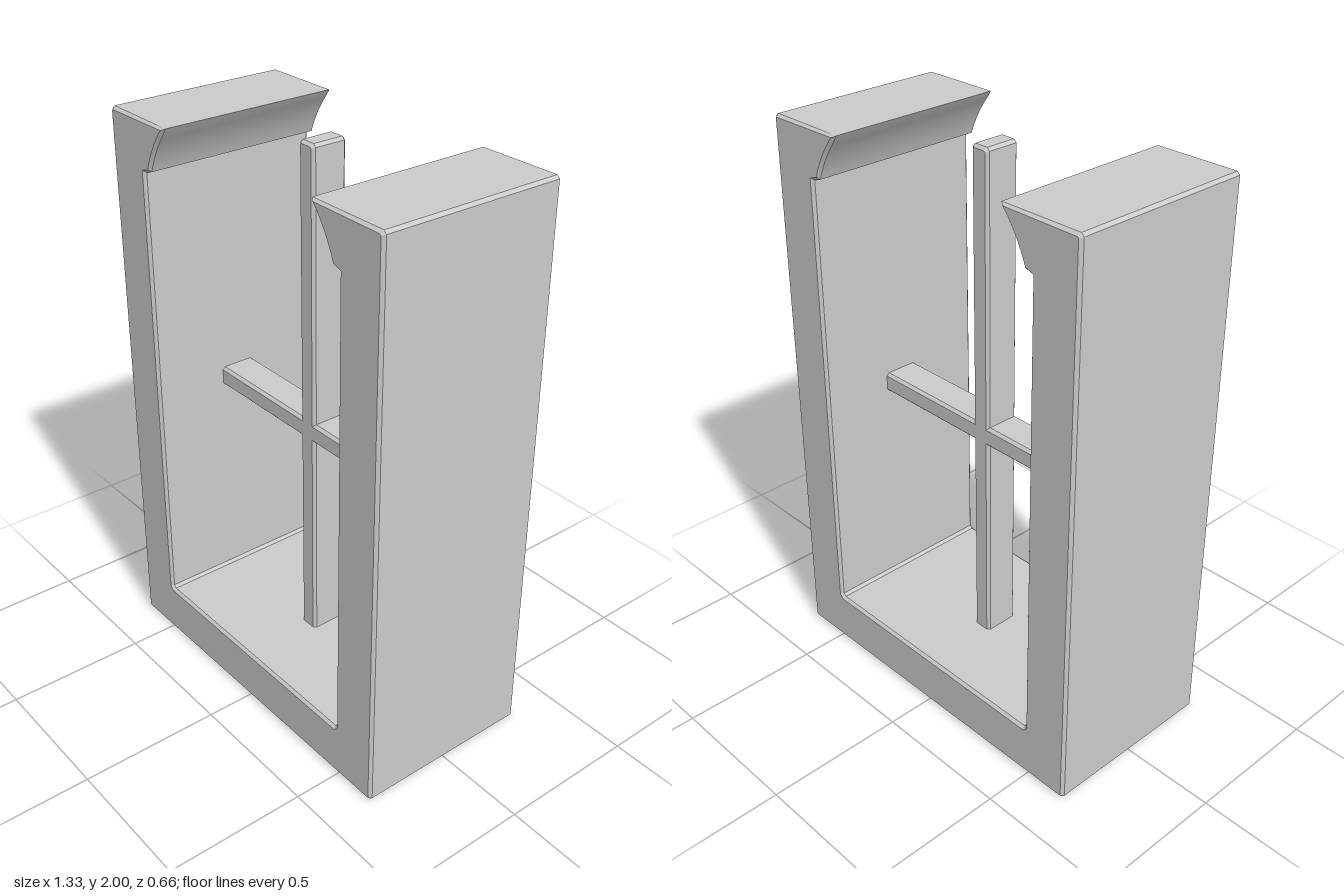
import * as THREE from 'three';
import { toCreasedNormals } from 'three/addons/utils/BufferGeometryUtils.js';

const BEVEL = 0.01;

// Extrudes an outline along z with a small chamfer that stays inside the outline
function chamferedExtrude(points, depth, zCentre) {
  const geometry = new THREE.ExtrudeGeometry(new THREE.Shape(points), {
    depth: depth - 2 * BEVEL,
    bevelEnabled: true,
    bevelThickness: BEVEL,
    bevelSize: BEVEL,
    bevelOffset: -BEVEL,
    bevelSegments: 1,
  });
  geometry.translate(0, 0, zCentre - depth / 2 + BEVEL);
  return toCreasedNormals(geometry, 0.4);
}

// Right half of the frame outline, from bottom centre around to the sill
function frameHalf() {
  const v = (x, y) => new THREE.Vector2(x, y);
  const arch = new THREE.QuadraticBezierCurve(v(0.36, 1.995), v(0.425, 1.92), v(0.455, 1.835));
  return [
    v(0.655, 0), v(0.665, 0.01),        // chamfered foot
    v(0.665, 1.99), v(0.655, 2),        // chamfered top
    v(0.36, 2), ...arch.getPoints(8).slice(1),
    v(0.485, 1.825),                    // step under the arch
    v(0.485, 0.2), v(0.475, 0.19),      // jamb down to the sill
  ];
}

export function createModel() {
  const group = new THREE.Group();
  const material = new THREE.MeshStandardMaterial({ color: 0xcccccc });
  const add = (name, geometry) => {
    const mesh = new THREE.Mesh(geometry, material);
    mesh.name = name;
    group.add(mesh);
  };

  // Deep window frame with broken arch springers at the top
  const half = frameHalf();
  const mirrored = half.map((p) => new THREE.Vector2(-p.x, p.y)).reverse();
  add('windowFrame', chamferedExtrude([...half, ...mirrored], 0.66, 0));

  // Crossed glazing bars, let into the jambs and sill
  const w = 0.036, reach = 0.5, low = 0.968, high = 1.04, foot = 0.17, top = 2;
  const cross = [
    [-w, foot], [w, foot], [w, low], [reach, low], [reach, high], [w, high],
    [w, top - BEVEL], [w - BEVEL, top], [BEVEL - w, top], [-w, top - BEVEL],
    [-w, high], [-reach, high], [-reach, low], [-w, low],
  ].map(([x, y]) => new THREE.Vector2(x, y));
  add('glazingBars', chamferedExtrude(cross, 0.13, -0.004));

  return group;
}
